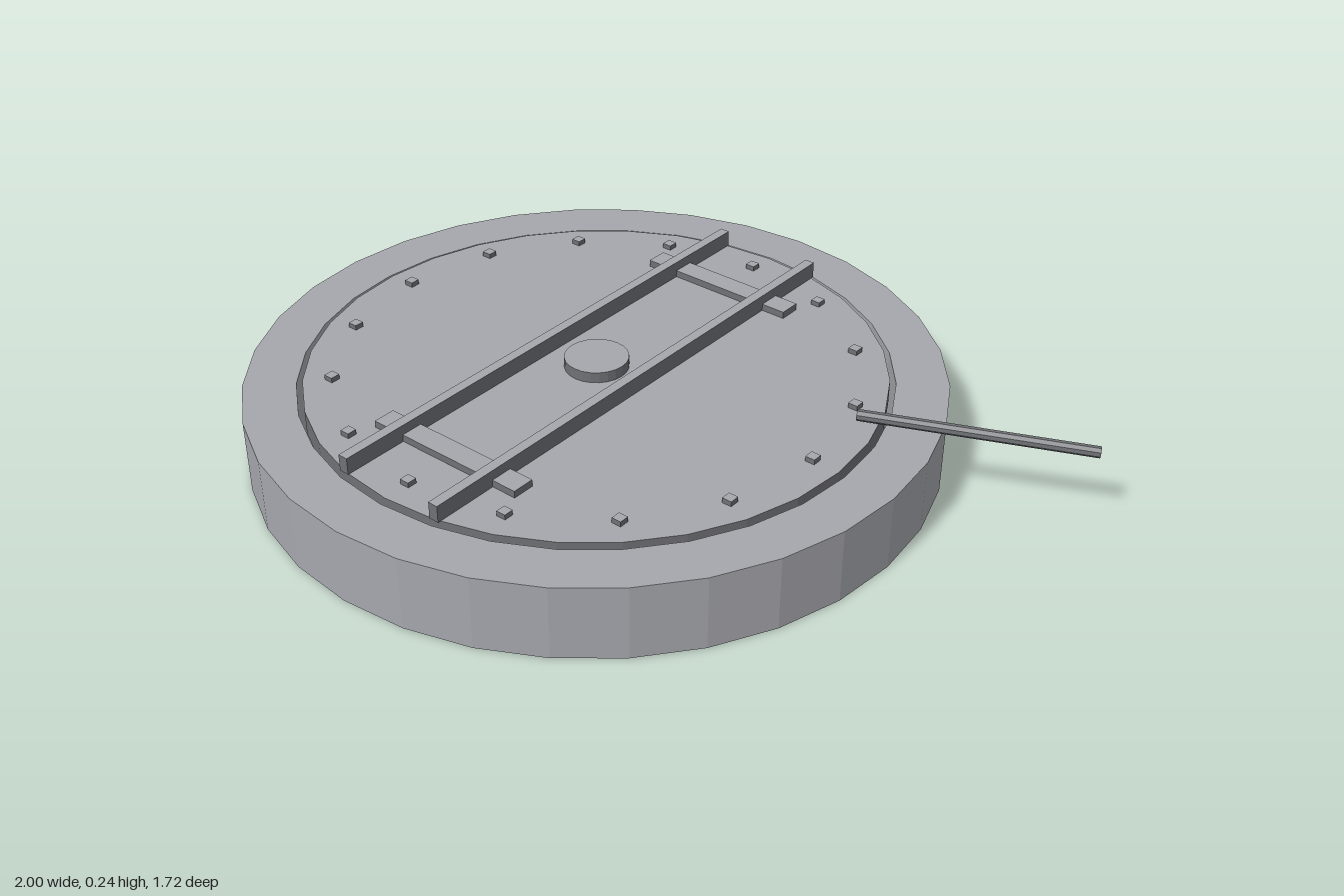
import * as THREE from 'three';

export function createModel() {
  const root = new THREE.Group();
  root.name = 'turntable';
  const light = new THREE.MeshStandardMaterial({ color: 0xa6a7ad, flatShading: true });
  light.name = 'light steel';
  const dark = new THREE.MeshStandardMaterial({ color: 0x707176, flatShading: true });
  dark.name = 'dark steel';

  // everything but the lever is centred on the table axis
  const table = new THREE.Group();
  table.name = 'table';
  table.position.x = -0.14;
  root.add(table);

  const add = (name, geometry, material, x = 0, y = 0, z = 0, parent = table) => {
    const mesh = new THREE.Mesh(geometry, material);
    mesh.name = name;
    mesh.position.set(x, y, z);
    parent.add(mesh);
    return mesh;
  };
  // boxes and discs with light tops and dark sides, placed by their bottom and top heights
  const boxMats = [dark, dark, light, dark, dark, dark];
  const discMats = [dark, light, dark];
  const box = (name, w, d, y0, y1, x, z, parent) =>
    add(name, new THREE.BoxGeometry(w, y1 - y0, d), boxMats, x, (y0 + y1) / 2, z, parent);
  const disc = (name, r, y0, y1, sides) =>
    add(name, new THREE.CylinderGeometry(r, r, y1 - y0, sides), discMats, 0, (y0 + y1) / 2, 0);

  // outer pit ring with a rectangular section
  const section = [[0.73, 0], [0.86, 0], [0.86, 0.19], [0.73, 0.19], [0.73, 0]]
    .map(([r, y]) => new THREE.Vector2(r, y));
  add('pitRing', new THREE.LatheGeometry(section, 32), light);

  // rotating deck, separated from the ring by a narrow gap
  disc('deck', 0.715, 0.135, 0.197, 32);
  disc('centreHub', 0.08, 0.197, 0.225, 24);

  // two rails and the cross ties beneath them
  for (const s of [-1, 1]) {
    box('rail', 0.026, 1.41, 0.197, 0.24, s * 0.141, 0);
    box('crossTie', 0.44, 0.058, 0.197, 0.215, 0, s * 0.505);
  }

  // ring of square bolts
  const bolts = new THREE.Group();
  bolts.name = 'bolts';
  table.add(bolts);
  for (let i = 0; i < 16; i++) {
    const a = (i / 16) * Math.PI * 2;
    box('bolt', 0.025, 0.025, 0.197, 0.21, Math.cos(a) * 0.643, Math.sin(a) * 0.643, bolts);
  }

  // locking lever lying across the rim
  const from = new THREE.Vector3(0.492, 0.218, -0.193);
  const to = new THREE.Vector3(0.993, 0.199, -0.44);
  const dir = to.clone().sub(from);
  const mid = from.clone().add(to).multiplyScalar(0.5);
  const lever = add('lever', new THREE.CylinderGeometry(0.014, 0.014, dir.length(), 8), dark,
    mid.x, mid.y, mid.z, root);
  lever.quaternion.setFromUnitVectors(new THREE.Vector3(0, 1, 0), dir.normalize());

  return root;
}
